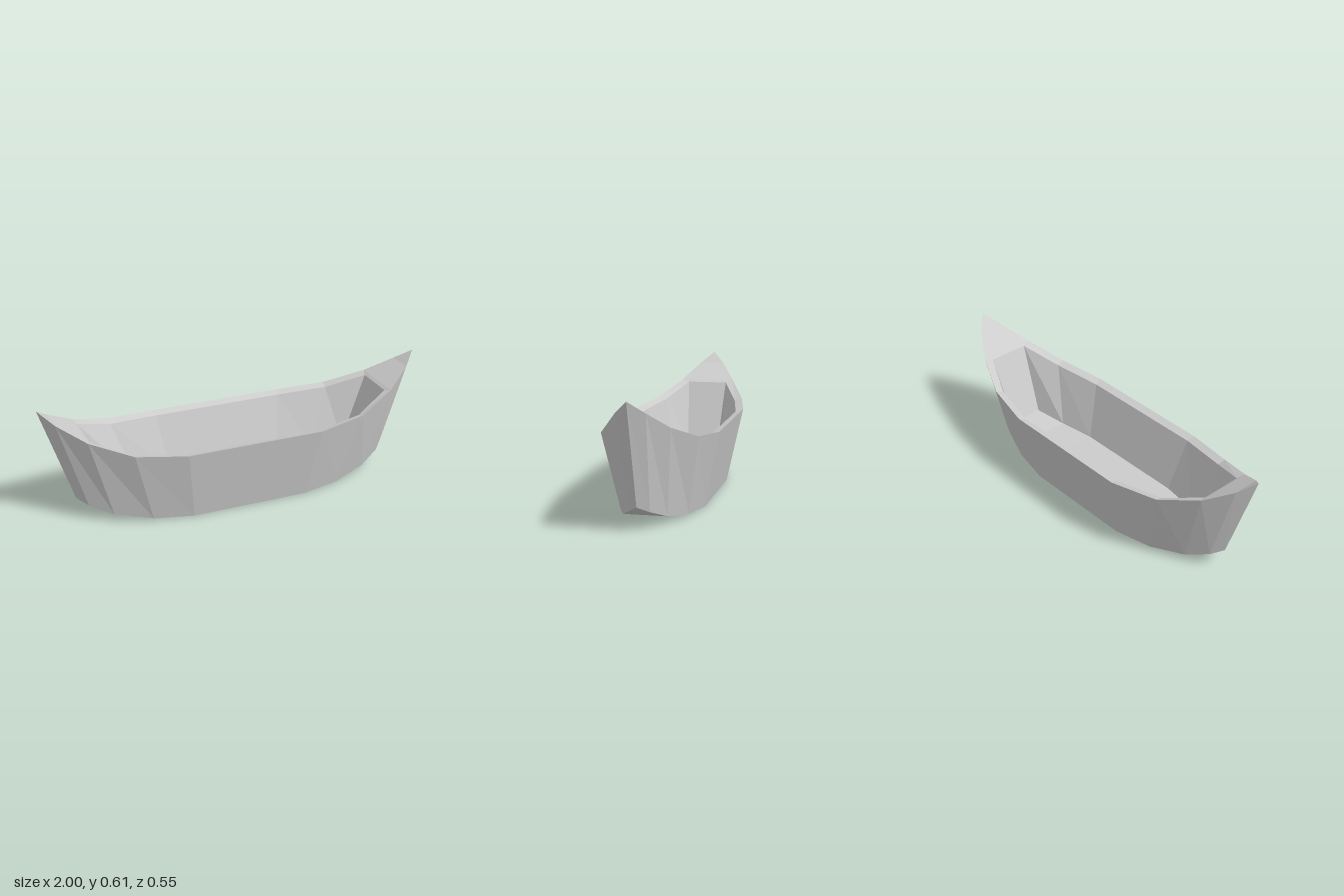
import * as THREE from 'three';

// Half profiles from amidships to the tip: [x, y, half width]
const GUNWALE = [[0.35, 0.375, 0.277], [0.6, 0.396, 0.228], [0.8, 0.466, 0.145], [0.93, 0.546, 0.067], [1, 0.605, 0]];
const KEEL = [[0.3, 0, 0.2], [0.5, 0.009, 0.163], [0.68, 0.04, 0.103], [0.79, 0.083, 0.048], [0.84, 0.113, 0]];
const INNER_RIM = [[0.34, 0.362, 0.238], [0.595, 0.383, 0.19], [0.785, 0.454, 0.106]];
const FLOOR = [[0.3, 0.08, 0.157], [0.49, 0.085, 0.125], [0.65, 0.11, 0.083]];

// Full end-to-end line on one side of the boat (side = 1 front, -1 back)
function line(half, side) {
  const right = half.map(([x, y, z]) => [x, y, z * side]);
  const left = right.map(([x, y, z]) => [-x, y, z]).reverse();
  return [...left, ...right];
}

// Quads between two lines, facing (direction of line) x (from a to b)
function strip(out, a, b) {
  for (let i = 0; i < a.length - 1; i++) {
    out.push(...a[i], ...a[i + 1], ...b[i], ...a[i + 1], ...b[i + 1], ...b[i]);
  }
}

export function createModel() {
  const boat = new THREE.Group();
  boat.name = 'rowingBoat';
  const paint = new THREE.MeshStandardMaterial({ color: 0xcccccc, flatShading: true });
  paint.name = 'greyHull';

  const addPart = (name, ...pairs) => {
    const points = [];
    pairs.forEach(([a, b]) => strip(points, a, b));
    const geometry = new THREE.BufferGeometry();
    geometry.setAttribute('position', new THREE.Float32BufferAttribute(points, 3));
    geometry.computeVertexNormals();
    const mesh = new THREE.Mesh(geometry, paint);
    mesh.name = name;
    boat.add(mesh);
  };

  const [topF, topB] = [line(GUNWALE, 1), line(GUNWALE, -1)];
  const [keelF, keelB] = [line(KEEL, 1), line(KEEL, -1)];
  const [rimF, rimB] = [line(INNER_RIM, 1), line(INNER_RIM, -1)];
  const [floorF, floorB] = [line(FLOOR, 1), line(FLOOR, -1)];

  // Outside shell
  addPart('outerSides', [keelF, topF], [topB, keelB]);
  addPart('bottom', [keelB, keelF]);

  // Gunwale sloping down from the outer to the inner edge
  addPart('gunwale', [topF.slice(2, 8), rimF], [rimB, topB.slice(2, 8)]);

  // Raised decks closing both pointed ends
  addPart('rightDeck', [[topF[0], topF[1], topF[2], rimF[0]], [topB[0], topB[1], topB[2], rimB[0]]]);
  addPart('leftDeck', [[rimF[5], topF[7], topF[8], topF[9]], [rimB[5], topB[7], topB[8], topB[9]]]);

  // Hollow inside
  addPart('innerSides', [rimF, floorF], [floorB, rimB]);
  addPart('floor', [floorF, floorB]);
  addPart('bulkheads',
    [[floorB[5], floorF[5]], [rimB[5], rimF[5]]],
    [[floorF[0], floorB[0]], [rimF[0], rimB[0]]]);

  return boat;
}
